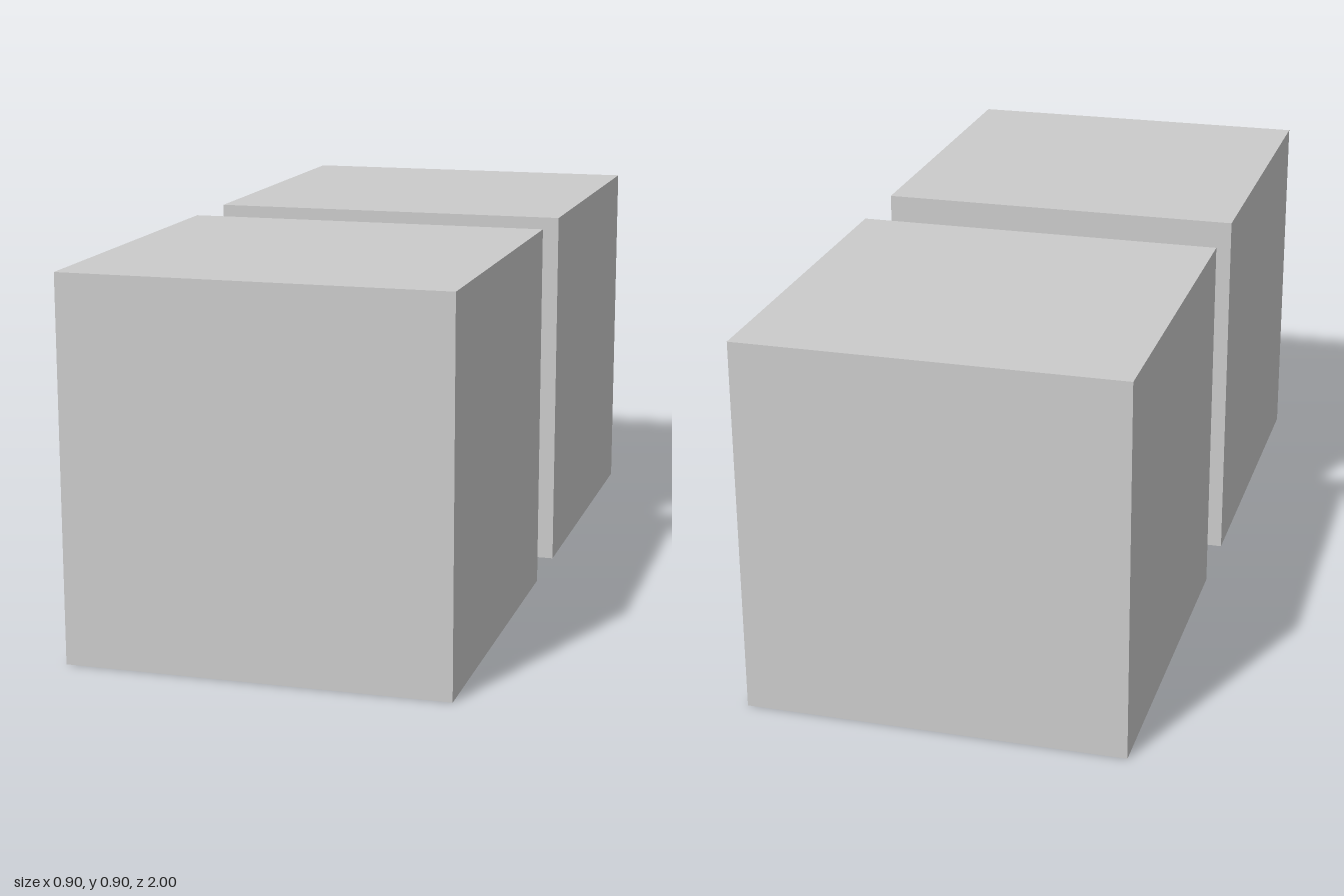
import * as THREE from 'three';

const SIZE = 0.9; // cube edge
const OFFSET = 0.55; // cube centre from the middle, leaving a 0.2 gap

export function createModel() {
  const model = new THREE.Group();
  model.name = 'cubePair';
  const material = new THREE.MeshStandardMaterial({ color: 0xcccccc });
  const geometry = new THREE.BoxGeometry(SIZE, SIZE, SIZE);

  // Two equal cubes, one in front of the other
  for (const [name, side] of [['frontCube', 1], ['backCube', -1]]) {
    const cube = new THREE.Mesh(geometry, material);
    cube.name = name;
    cube.position.set(0, SIZE / 2, side * OFFSET);
    model.add(cube);
  }
  return model;
}
